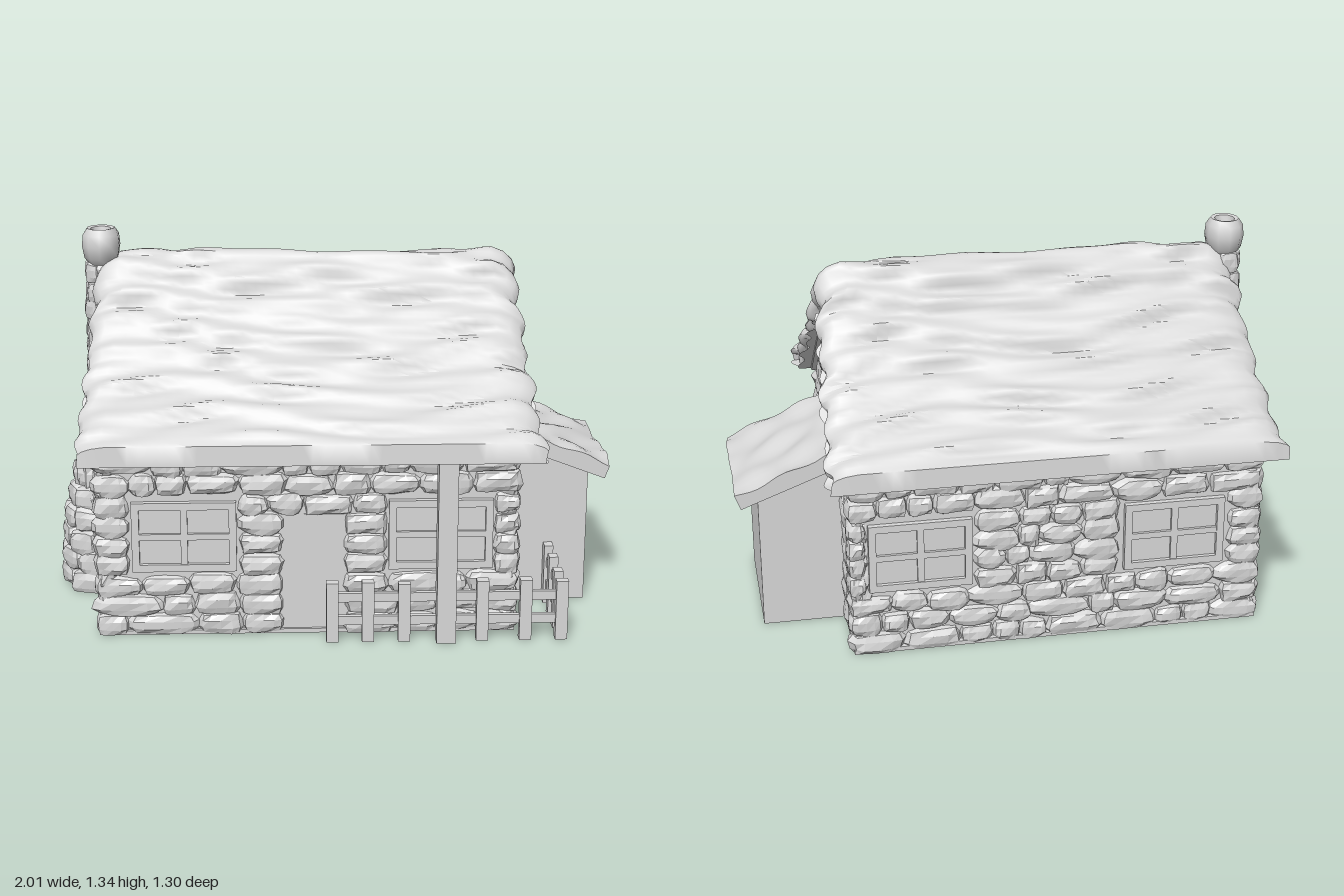
import * as THREE from 'three';
import { mergeGeometries, toCreasedNormals } from 'three/addons/utils/BufferGeometryUtils.js';

const grey = new THREE.MeshStandardMaterial({ color: 0xd8d8d8 });
grey.name = 'pale grey';

let seed = 7;
const rand = (a = 0, b = 1) => {
  seed = (seed * 16807) % 2147483647;
  return a + (b - a) * (seed / 2147483647);
};

// Slope of the roof's underside, seen from the gable
const under = d => Math.max(0.65, 1.07 - 0.77 * d);

// Chiselled, rounded stone of full size w, h, d
function stone(w, h, d, x, y, z, turn = 0) {
  const g = new THREE.BoxGeometry(2, 2, 2, 4, 3, 3);
  const p = g.attributes.position, k = rand(0, 50), lean = rand(-0.12, 0.12);
  for (let i = 0; i < p.count; i++) {
    const a = p.getX(i), b = p.getY(i), c = p.getZ(i);
    const n = (Math.abs(a) ** 3.6 + Math.abs(b) ** 3.6 + Math.abs(c) ** 3.6) ** (-1 / 3.6);
    const r = n * (1 + 0.08 * Math.sin(a * 3 + k) * Math.cos(b * 3 + k * 2) + 0.04 * Math.sin(c * 5 + a * 2 + k));
    p.setXYZ(i, a * r * w / 2, b * r * h / 2 * (1 + lean * a) * (1 + lean * c), c * r * d / 2);
  }
  g.rotateY(turn).translate(x, y, z);
  for (let i = 0; i < p.count; i++) p.setY(i, Math.max(0, p.getY(i)));
  const flat = g.toNonIndexed();
  flat.computeVertexNormals();
  return flat;
}

// Split a row from a to b into stones of varied width
function row(a, b, size, place) {
  if (b - a < 0.04) return;
  const n = Math.max(1, Math.round((b - a) / size));
  const parts = Array.from({ length: n }, () => rand(0.6, 1.4));
  const sum = parts.reduce((s, v) => s + v, 0);
  let at = a;
  for (const v of parts) {
    const w = (v / sum) * (b - a);
    place(at + w / 2, w);
    at += w;
  }
}

// Remove openings [a, b, y0, y1] from a span at height y
function gaps(a, b, y, openings) {
  const spans = [];
  let at = a;
  for (const o of openings.filter(o => y > o[2] && y < o[3])) {
    spans.push([at, o[0]]);
    at = o[1];
  }
  spans.push([at, b]);
  return spans;
}

function thatch() {
  const half = [[0.645, 0.72], [0.52, 0.795], [0.35, 0.91], [0.167, 1.088], [0.06, 1.215]];
  const pts = [...half, [0, 1.25], ...half.slice().reverse().map(([d, y]) => [-d, y])];
  const curve = new THREE.SplineCurve(pts.map(q => new THREE.Vector2(...q)));
  const outer = [new THREE.Vector2(0.65, 0.65), ...curve.getSpacedPoints(110), new THREE.Vector2(-0.65, 0.65)];
  const M = outer.length;
  // rings: position along roof, share of thickness, inset from the end
  // (a flat barge band below, then the rounded thatch roll)
  const ends = [[0, 0.022], [0.36, 0.022], [0.44, 0.006], [0.62, 0], [0.78, 0.014], [0.92, 0.045], [1, 0.09]];
  const rings = [...ends.map(([f, s]) => [0, f, s])];
  for (let i = 1; i < 36; i++) rings.push([i / 36, 1, 0.09 * (1 - 2 * i / 36)]);
  rings.push(...ends.slice().reverse().map(([f, s]) => [1, f, -s]));
  const pos = [], idx = [];
  for (const [t, f, inset] of rings) {
    const ring = [];
    outer.forEach((q, j) => {
      const s = j * 0.0165, d = Math.abs(q.x);
      const flare = 0.04 * (d / 0.65);
      const ragged = f < 0.4 ? 0.3 : 1;
      const x0 = -0.835 - flare + ragged * (0.009 * Math.sin(s * 43 + 1) + 0.005 * Math.sin(s * 27));
      const x1 = 0.662 + flare + ragged * (0.011 * Math.sin(s * 41) + 0.006 * Math.sin(s * 23));
      const x = x0 + (x1 - x0) * t + inset;
      const calm = Math.min(1, (0.645 - Math.min(d, 0.645)) / 0.06);
      // broken, overlapping strands running along the roof
      const w = calm * (0.008 * Math.sin(s * 47 + 2.2 * Math.sin(x * 5.3 + s * 4))
        + 0.007 * Math.sin(s * 71 - x * 7 + 2 * Math.sin(x * 6)) * Math.sin(x * 6.5 + s * 9));
      const yi = under(d);
      const z = q.x - 0.015 * (1 - d / 0.65);
      ring.push([x, yi + (q.y - yi + w) * f, z + Math.sign(q.x) * w * 0.7 * f, yi, z]);
    });
    for (const r of ring) pos.push(r[0], r[1], r[2]);
    for (const r of ring.slice().reverse()) pos.push(r[0], r[3], r[4]);
  }
  const L = 2 * M;
  for (let i = 0; i < rings.length - 1; i++) for (let j = 0; j < L; j++) {
    const a = i * L + j, b = i * L + (j + 1) % L;
    idx.push(a, a + L, b, b, a + L, b + L);
  }
  const g = new THREE.BufferGeometry();
  g.setAttribute('position', new THREE.Float32BufferAttribute(pos, 3));
  g.setIndex(idx);
  return toCreasedNormals(g, 0.9);
}

export function createModel() {
  const model = new THREE.Group();
  model.name = 'stoneCottage';
  const add = (name, geo, parent = model) => {
    const m = new THREE.Mesh(geo, grey);
    m.name = name;
    parent.add(m);
    return m;
  };
  const box = (x0, x1, y0, y1, z0, z1) => new THREE.BoxGeometry(x1 - x0, y1 - y0, z1 - z0)
    .translate((x0 + x1) / 2, (y0 + y1) / 2, (z0 + z1) / 2);

  // Mortar core with gables, on a shallow footing
  const shape = new THREE.Shape([[-0.545, 0], [0.517, 0], [0.517, 0.655], [-0.015, 1.075], [-0.545, 0.655]]
    .map(q => new THREE.Vector2(-q[0], q[1])));
  add('wallCore', new THREE.ExtrudeGeometry(shape, { depth: 1.42, bevelEnabled: false })
    .rotateY(Math.PI / 2).translate(-0.805, 0, 0));
  add('footing', box(-0.82, 0.628, 0, 0.015, -0.565, 0.53));

  // Front and back stone courses
  const frontOpen = [[-0.71, -0.33, 0.23, 0.49], [-0.18, 0.03, -1, 0.43], [0.18, 0.55, 0.23, 0.49]];
  const backOpen = [[-0.71, -0.31, 0.23, 0.49], [0.2, 0.58, 0.23, 0.49]];
  const H = 0.0725;
  for (const [name, z, open] of [['frontStones', 0.495, frontOpen], ['backStones', -0.525, backOpen]]) {
    const list = [];
    for (let r = 0; r < 9; r++) {
      const y = (r + 0.5) * H;
      for (const [a, b] of gaps(-0.83, 0.64, y, open))
        row(a, b, 0.145, (x, w) => list.push(stone(w * 1.06, H * rand(1.05, 1.25), rand(0.085, 0.105), x, y + rand(-0.006, 0.006), z)));
    }
    add(name, mergeGeometries(list));
  }

  // Gable stone courses, clipped under the roof
  const G = 0.083;
  for (const [name, x, open] of [['leftGableStones', 0.595, [[-0.26, 0.22, -1, 0.52]]], ['rightGableStones', -0.785, []]]) {
    const list = [];
    for (let r = 0; r < 12; r++) {
      const y = (r + 0.5) * G, lim = Math.min(0.535, (1.06 - y) / 0.77);
      for (const [a, b] of gaps(-0.02 - lim, lim - 0.01, y, open))
        row(a, b, 0.135, (z, w) => list.push(stone(rand(0.075, 0.09), G * rand(1.1, 1.3), w * 1.08, x, y + rand(-0.012, 0.012), z)));
    }
    add(name, mergeGeometries(list));
  }

  add('thatchedRoof', thatch());

  // Sloping boards under the gable edges
  for (const x of [-0.82, 0.63]) for (const s of [1, -1]) {
    const b = add('gableBoard', new THREE.BoxGeometry(0.035, 0.03, 0.67));
    b.position.set(x, 0.872, -0.015 + s * 0.27);
    b.rotation.x = s * Math.atan(0.77);
  }

  // Door and windows
  add('door', box(-0.185, 0.035, 0, 0.435, 0.512, 0.52));
  const windowAt = (x, z) => {
    const g = new THREE.Group();
    g.name = 'window';
    add('panes', new THREE.BoxGeometry(0.34, 0.22, 0.02), g);
    for (const k of [-1, 1]) {
      add('frameSide', new THREE.BoxGeometry(0.026, 0.25, 0.05), g).position.x = k * 0.167;
      add('frameRail', new THREE.BoxGeometry(0.355, 0.026, 0.05), g).position.y = k * 0.112;
    }
    add('mullion', new THREE.BoxGeometry(0.024, 0.22, 0.042), g);
    add('crossBar', new THREE.BoxGeometry(0.33, 0.022, 0.042), g);
    g.position.set(x, 0.36, z);
    model.add(g);
  };
  windowAt(-0.52, 0.513);
  windowAt(0.365, 0.513);
  windowAt(-0.51, -0.541);
  windowAt(0.39, -0.541);

  // Lean-to shed with a lumpy slab roof
  const side = new THREE.Shape([[0.58, 0], [0.92, 0], [0.92, 0.515], [0.58, 0.635]].map(q => new THREE.Vector2(...q)));
  add('shedWalls', new THREE.ExtrudeGeometry(side, { depth: 0.52, bevelEnabled: false }).translate(0, 0, -0.28));
  const slab = new THREE.BoxGeometry(0.39, 0.058, 0.545, 14, 1, 18);
  const sp = slab.attributes.position;
  for (let i = 0; i < sp.count; i++) {
    const x = sp.getX(i), z = sp.getZ(i);
    if (sp.getY(i) > 0) sp.setY(i, 0.03 + 0.007 * Math.sin(x * 30 + 2 * Math.sin(z * 14)) + 0.005 * Math.sin(z * 34 + x * 9));
  }
  slab.rotateZ(-0.36).translate(0.807, 0.559, -0.022);
  add('shedRoof', toCreasedNormals(slab, 0.7));

  // Chimney: broad base, narrow stack, round pot
  const chim = [];
  const ringOfStones = (cx, cz, rx, rz, y, h, n, size) => {
    const off = rand(0, 6);
    for (let i = 0; i < n; i++) {
      const a = off + (i / n) * Math.PI * 2;
      chim.push(stone(size * rand(0.95, 1.2), h * rand(1.1, 1.3), size * 0.7,
        cx + Math.sin(a) * rx, y + rand(-0.008, 0.008), cz + Math.cos(a) * rz, a));
    }
  };
  for (let r = 0; r < 6; r++) {
    const k = [1.02, 1, 0.95, 0.86, 0.7, 0.48][r];
    ringOfStones(-0.86, -0.035, 0.103 * k, 0.14 * k, 0.037 + r * 0.076, 0.076, 8, 0.11);
  }
  for (let r = 0; r < 11; r++)
    ringOfStones(-0.838 + r * 0.001, -0.025, 0.03, 0.038, 0.48 + r * 0.07, 0.07, 5, 0.062);
  add('chimneyStones', mergeGeometries(chim));
  add('chimneyBaseCore', new THREE.CylinderGeometry(0.06, 0.115, 0.45, 14).scale(1, 1, 1.25).translate(-0.86, 0.225, -0.035));
  add('chimneyStackCore', new THREE.CylinderGeometry(0.04, 0.04, 0.82, 10).translate(-0.832, 0.83, -0.025));
  const pot = [[0, 1.205], [0.045, 1.207], [0.064, 1.232], [0.072, 1.275], [0.068, 1.315], [0.052, 1.338], [0.038, 1.335], [0.034, 1.31], [0, 1.31]];
  add('chimneyPot', toCreasedNormals(new THREE.LatheGeometry(pot.map(q => new THREE.Vector2(...q)), 10), 0.8)
    .scale(0.97, 1, 1.1).translate(-0.82, 0, -0.02));

  // Porch post and picket fence
  add('porchPost', box(0.345, 0.412, 0, 0.67, 0.58, 0.642));
  const fence = new THREE.Group();
  fence.name = 'fence';
  model.add(fence);
  for (const x of [-0.013, 0.11, 0.235, 0.505, 0.655, 0.78])
    add('picket', box(x - 0.021, x + 0.021, 0, rand(0.21, 0.225), 0.585, 0.62), fence);
  for (const z of [0.5, 0.385, 0.266])
    add('picket', box(0.765, 0.797, 0, rand(0.21, 0.225), z - 0.021, z + 0.021), fence);
  for (const y of [0.075, 0.16]) {
    add('frontRail', box(-0.02, 0.79, y - 0.016, y + 0.016, 0.592, 0.61), fence);
    add('sideRail', box(0.773, 0.79, y - 0.016, y + 0.016, 0.24, 0.61), fence);
  }
  return model;
}
